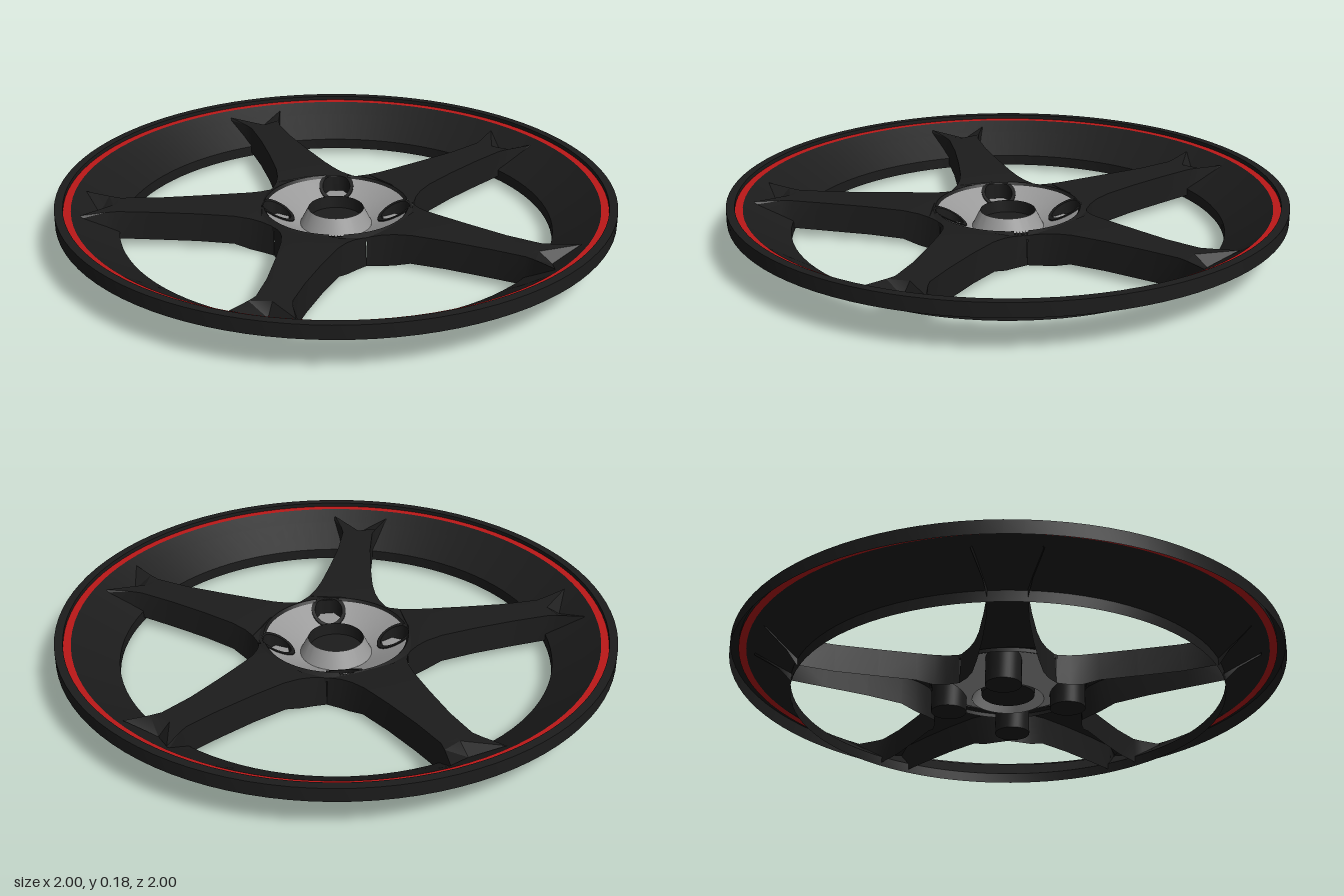
import * as THREE from 'three';
import { toCreasedNormals } from 'three/addons/utils/BufferGeometryUtils.js';

const paint = (color) => new THREE.MeshStandardMaterial({ color, side: THREE.DoubleSide });
const black = paint(0x1c1c1c);
const red = paint(0xbb1818);
const metal = paint(0x999999);

// Bolt centres on the hub
const BOLT_RADIUS = 0.215;
const boltAngles = [0, 1, 2, 3].map((i) => 0.385 + (i * Math.PI) / 2);

// Height of the sloping hub dish at a given radius
const dishHeight = (r) => 0.045 + 0.065 * THREE.MathUtils.clamp((r - 0.13) / 0.125, 0, 1);

function add(parent, name, geometry, material) {
  const mesh = new THREE.Mesh(geometry, material);
  mesh.name = name;
  parent.add(mesh);
  return mesh;
}

function lathe(points, segments) {
  return new THREE.LatheGeometry(points.map(([r, y]) => new THREE.Vector2(r, y)), segments);
}

// Surface of revolution from [radius, height] pairs, with crisp bends
const turned = (points, segments = 96) => toCreasedNormals(lathe(points, segments), 0.35);

// Leaves out the faces that lie inside a bolt hole
function withBoltHoles(geometry) {
  const p = geometry.attributes.position;
  const old = geometry.index.array;
  const kept = [];
  for (let i = 0; i < old.length; i += 3) {
    const face = [old[i], old[i + 1], old[i + 2]];
    const x = face.reduce((sum, v) => sum + p.getX(v), 0) / 3;
    const z = face.reduce((sum, v) => sum + p.getZ(v), 0) / 3;
    const inHole = boltAngles.some((a) =>
      Math.hypot(x - Math.cos(a) * BOLT_RADIUS, z - Math.sin(a) * BOLT_RADIUS) < 0.059);
    if (!inHole) kept.push(...face);
  }
  geometry.setIndex(kept);
  return toCreasedNormals(geometry, 0.35);
}

// Hollow spoke: five-point channel sections running out along -z to a forked tip
function spokeGeometry() {
  // radius, half width at top, half width at bottom, top height, bottom height
  const stations = [
    [0.23, 0.164, 0.168, 0.11, 0.0],
    [0.27, 0.134, 0.14, 0.116, 0.0],
    [0.31, 0.115, 0.121, 0.121, 0.003],
    [0.37, 0.099, 0.104, 0.126, 0.02],
    [0.50, 0.08, 0.084, 0.13, 0.025],
    [0.65, 0.064, 0.068, 0.133, 0.028],
    [0.78, 0.06, 0.064, 0.138, 0.035],
  ];
  const sections = stations.map(([r, t, b, top, low]) => [
    [-b, low, -r], [-t, top, -r], [0, top + 0.003, -Math.max(r, 0.268)], [t, top, -r], [b, low, -r],
  ]);
  // Tip: the corners reach up the rim while the middle stays back
  sections.push([
    [-0.078, 0.08, -0.82], [-0.072, 0.141, -0.82], [0, 0.138, -0.8], [0.072, 0.141, -0.82], [0.078, 0.08, -0.82],
  ]);
  sections.push([
    [-0.114, 0.138, -0.905], [-0.106, 0.147, -0.905], [0, 0.105, -0.85], [0.106, 0.147, -0.905], [0.114, 0.138, -0.905],
  ]);
  const index = [];
  for (let i = 0; i < sections.length - 1; i++) {
    for (let j = 0; j < 4; j++) {
      const a = i * 5 + j, b = a + 1, c = a + 5, d = c + 1;
      index.push(a, c, b, b, c, d);
    }
  }
  const geometry = new THREE.BufferGeometry();
  geometry.setAttribute('position', new THREE.Float32BufferAttribute(sections.flat(2), 3));
  geometry.setIndex(index);
  geometry.computeVertexNormals();
  return toCreasedNormals(geometry, 0.5);
}

// Bolt sleeve whose upper rim follows the slope of the dish
function sleeveGeometry() {
  const geometry = lathe([[0.051, 0.03], [0.051, 0.1], [0.064, 0.1], [0.064, 0], [0, 0]], 32);
  const p = geometry.attributes.position;
  for (let i = 0; i < p.count; i++) {
    if (p.getY(i) > 0.09) p.setY(i, dishHeight(Math.hypot(p.getX(i) + BOLT_RADIUS, p.getZ(i))) + 0.004);
  }
  return toCreasedNormals(geometry, 0.5);
}

export function createModel() {
  const wheel = new THREE.Group();
  wheel.name = 'wheelRim';

  // Rim sheet: outer lip, recessed stripe, sloping face and inner wall
  add(wheel, 'outerLip', turned([[1, 0.13], [1, 0.18], [0.97, 0.18], [0.97, 0.165]]), black);
  add(wheel, 'stripe', turned([[0.97, 0.165], [0.943, 0.165]]), red);
  add(wheel, 'rimFace', turned([[0.943, 0.165], [0.89, 0.13], [0.78, 0.06], [0.78, 0.02]]), black);

  // Five spokes, joined to each other at the hub
  const spoke = spokeGeometry();
  for (let i = 0; i < 5; i++) {
    add(wheel, 'spoke', spoke, black).rotation.y = (i * Math.PI * 2) / 5;
  }

  // Hub: dark collar, metal dish with a raised centre, dark bore
  const slope = Array.from({ length: 17 }, (_, i) => 0.255 - (i * 0.125) / 16).map((r) => [r, dishHeight(r)]);
  add(wheel, 'hubCollar', withBoltHoles(lathe([[0.254, 0.109], [0.262, 0.12], [0.285, 0.11], [0.285, 0.095]], 160)), black);
  add(wheel, 'hubDish', withBoltHoles(lathe(slope, 160)), metal);
  add(wheel, 'hubCentre', turned([[0.13, 0.045], [0.1, 0.105]], 64), metal);
  add(wheel, 'centreBore', turned([[0.1, 0.105], [0.096, 0.06], [0, 0.06]], 48), black);

  // Four hex bolts, each sunk in a dark sleeve
  const sleeve = sleeveGeometry();
  const head = new THREE.CylinderGeometry(0.05, 0.05, 0.05, 6).toNonIndexed();
  head.computeVertexNormals();
  for (const angle of boltAngles) {
    const bolt = new THREE.Group();
    bolt.name = 'bolt';
    bolt.position.set(Math.cos(angle) * BOLT_RADIUS, 0, Math.sin(angle) * BOLT_RADIUS);
    bolt.rotation.y = -angle;
    add(bolt, 'boltSleeve', sleeve, black);
    add(bolt, 'boltHead', head, metal).position.y = 0.032;
    wheel.add(bolt);
  }
  return wheel;
}
